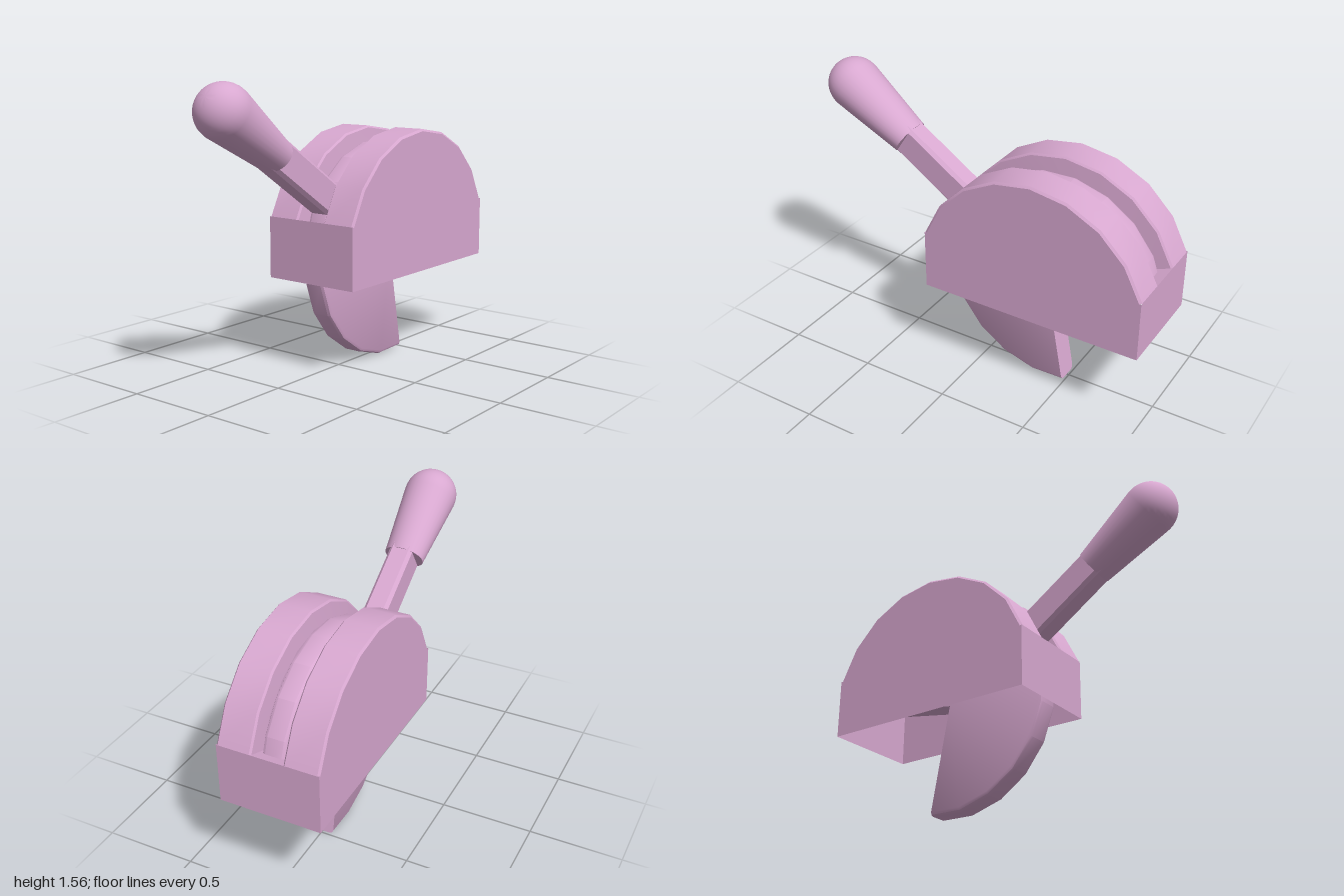
import * as THREE from 'three';
import { toCreasedNormals } from 'three/addons/utils/BufferGeometryUtils.js';

const CX = 0.38;        // shared pivot x
const ARC_Y = 0.63;     // centre of the housing arch
const ARC_R = 0.65;
const PIVOT_Y = 0.605;  // centre of the lever disc
const BASE_Y = 0.5;
const rad = THREE.MathUtils.degToRad;

const solid = new THREE.MeshStandardMaterial({ color: 0xd8a8d0 });
const thin = new THREE.MeshStandardMaterial({ color: 0xd8a8d0, side: THREE.DoubleSide });

function addMesh(parent, name, geometry, material = solid) {
  const mesh = new THREE.Mesh(geometry, material);
  mesh.name = name;
  parent.add(mesh);
  return mesh;
}

// Arch station: point on the outer edge and its outward normal
function arcStation(deg) {
  const nx = Math.cos(rad(deg)), ny = Math.sin(rad(deg));
  return { x: CX + ARC_R * nx, y: ARC_Y + ARC_R * ny, nx, ny };
}

// Sweep a section of [z, inset] pairs along the stations
function sweep(section, stations) {
  const positions = [], index = [], n = section.length;
  for (const s of stations)
    for (const [z, inset] of section) positions.push(s.x - s.nx * inset, s.y - s.ny * inset, z);
  for (let i = 0; i < stations.length - 1; i++)
    for (let j = 0; j < n - 1; j++) {
      const a = i * n + j, b = a + n;
      index.push(a, a + 1, b + 1, a, b + 1, b);
    }
  const g = new THREE.BufferGeometry();
  g.setAttribute('position', new THREE.Float32BufferAttribute(positions, 3));
  g.setIndex(index);
  return toCreasedNormals(g, 0.5);
}

// Hollow housing, open underneath, with a slot over the arch
function createHousing() {
  const housing = new THREE.Group();
  housing.name = 'housing';
  const arc = [];
  for (let d = 18; d <= 162; d += 18) arc.push(arcStation(d));
  const right = arc[0], left = arc[arc.length - 1];

  // Arch halves: bevelled outer edge, then a flange dropping into the slot
  const half = [[0.275, 0.012], [0.265, 0], [0.095, 0], [0.086, 0.01], [0.076, 0.1]];
  addMesh(housing, 'frontArch', sweep(half, arc), thin);
  addMesh(housing, 'backArch', sweep(half.map(([z, i]) => [-z, i]).reverse(), arc), thin);

  // Upright end walls below the slot
  const full = [[0.275, 0], [-0.275, 0]];
  const wall = (s, nx, y) => ({ x: s.x, y, nx, ny: 0 });
  addMesh(housing, 'leftWall', sweep(full, [wall(right, 1, BASE_Y), wall(right, 1, right.y)]), thin);
  addMesh(housing, 'rightWall', sweep(full, [wall(left, -1, left.y), wall(left, -1, BASE_Y)]), thin);

  // Flat cheeks
  const outline = new THREE.Shape([
    new THREE.Vector2(right.x, BASE_Y), new THREE.Vector2(right.x, right.y),
    ...arc.map((s) => new THREE.Vector2(s.x - s.nx * 0.012, s.y - s.ny * 0.012)),
    new THREE.Vector2(left.x, left.y), new THREE.Vector2(left.x, BASE_Y),
  ]);
  addMesh(housing, 'frontCheek', new THREE.ShapeGeometry(outline), thin).position.z = 0.275;
  const back = addMesh(housing, 'backCheek', new THREE.ShapeGeometry(outline).rotateY(Math.PI), thin);
  back.position.set(2 * CX, 0, -0.275);

  // Ledges closing the slot ends
  for (const [s, side] of [[right, 1], [left, -1]]) {
    const ledge = new THREE.PlaneGeometry(0.1, 0.18).rotateX(-Math.PI / 2);
    ledge.rotateZ(side * rad(18));
    const m = addMesh(housing, 'slotEnd', ledge, thin);
    m.position.set(s.x - s.nx * 0.05, s.y - s.ny * 0.05, 0);
  }
  return housing;
}

// Three-quarter disc with bevelled rim, arm and grip
function createLever() {
  const lever = new THREE.Group();
  lever.name = 'lever';
  lever.position.set(CX, PIVOT_Y, 0);

  const profile = [[0, -0.065], [0.582, -0.065], [0.595, -0.058], [0.602, -0.044],
    [0.602, 0.044], [0.595, 0.058], [0.582, 0.065], [0, 0.065]].map(([r, z]) => new THREE.Vector2(r, z));
  const disc = new THREE.LatheGeometry(profile, 15, rad(100.5), rad(270)).rotateX(Math.PI / 2);
  disc.deleteAttribute('normal');
  addMesh(lever, 'disc', toCreasedNormals(disc, 0.5), thin);
  for (const deg of [10.5, 280.5]) {
    const cut = new THREE.ShapeGeometry(new THREE.Shape(profile));
    addMesh(lever, 'discCutFace', cut.rotateX(Math.PI / 2).rotateZ(rad(deg)), thin);
  }

  // Arm and grip are built along +y, then tilted
  const handle = new THREE.Group();
  handle.name = 'handle';
  handle.rotation.z = rad(56.4);
  lever.add(handle);

  const w = 0.087, d = 0.065, c = 0.018;
  const section = new THREE.Shape([[w, -d + c], [w, d - c], [w - c, d], [c - w, d], [-w, d - c],
    [-w, c - d], [c - w, -d], [w - c, -d]].map(([x, y]) => new THREE.Vector2(x, y)));
  const arm = new THREE.ExtrudeGeometry(section, { depth: 0.6, bevelEnabled: false });
  addMesh(handle, 'arm', arm.rotateX(-Math.PI / 2)).position.y = 0.52;

  // Tapered grip with a ball end, its base slightly wider in z
  const ballY = 1.487, ballR = 0.142, baseY = 1.068;
  const gripProfile = [new THREE.Vector2(0, baseY), new THREE.Vector2(0.092, baseY)];
  for (let i = 0; i <= 12; i++) {
    const a = rad(-7 + (97 * i) / 12);
    gripProfile.push(new THREE.Vector2(Math.max(0, ballR * Math.cos(a)), ballY + ballR * Math.sin(a)));
  }
  const grip = new THREE.LatheGeometry(gripProfile, 32);
  const p = grip.attributes.position;
  for (let i = 0; i < p.count; i++) {
    const t = THREE.MathUtils.clamp((p.getY(i) - baseY) / (ballY - baseY), 0, 1);
    p.setZ(i, p.getZ(i) * (1.02 + 0.18 * (1 - t)));
  }
  grip.deleteAttribute('normal');
  addMesh(handle, 'grip', toCreasedNormals(grip, 0.6));
  return lever;
}

export function createModel() {
  const model = new THREE.Group();
  model.name = 'leverSwitch';
  model.add(createHousing(), createLever());
  return model;
}
